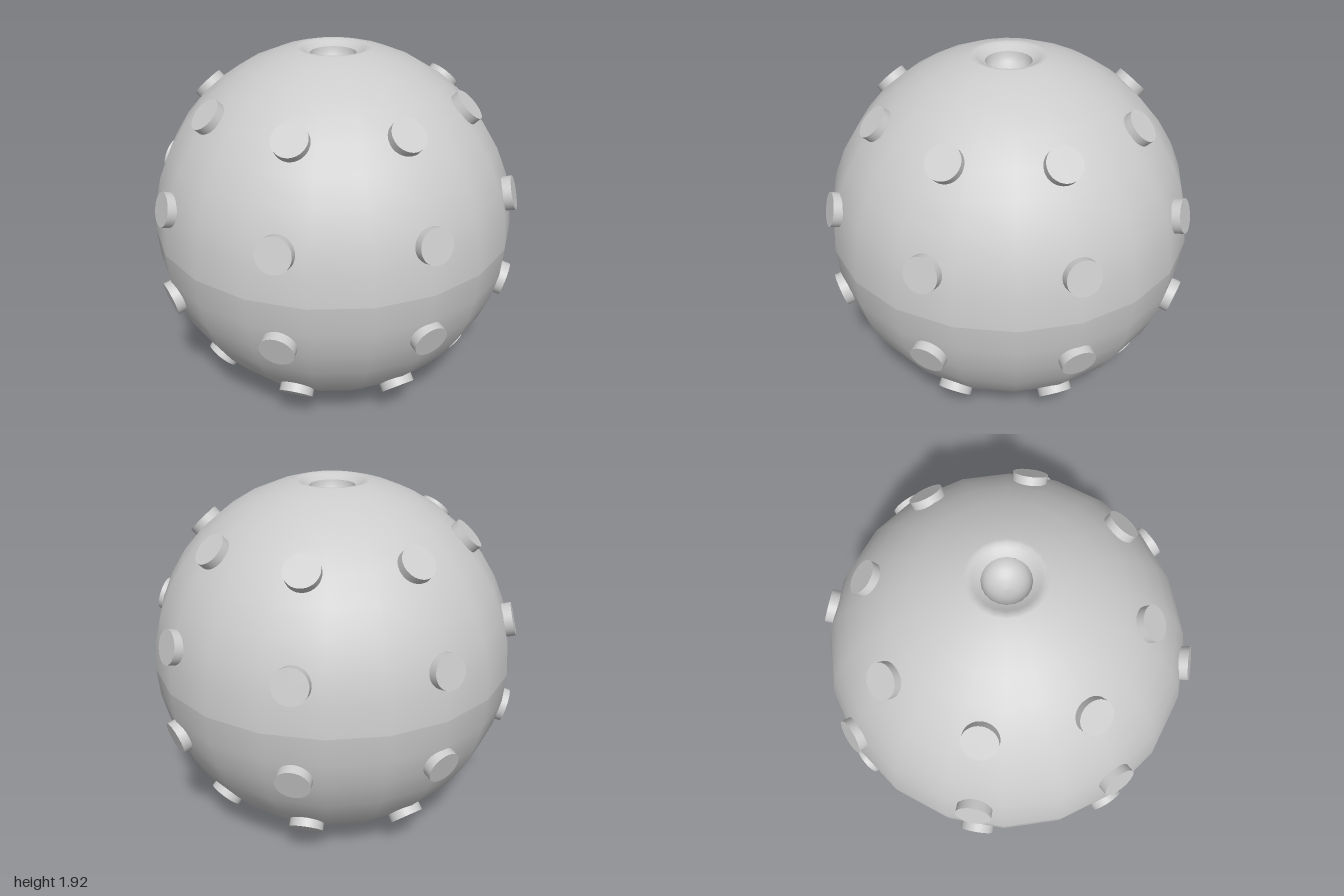
import * as THREE from 'three';

const material = new THREE.MeshStandardMaterial({ color: 0xcccccc });
const R = 0.98;         // shell radius
const CENTRE = 0.96;    // height of the shell's centre
const SIDES = 20;
const rad = THREE.MathUtils.degToRad;

function part(name, geometry) {
  const mesh = new THREE.Mesh(geometry, material);
  mesh.name = name;
  return mesh;
}

// A half shell with a rounded lip around the pole and a round socket in it
function createHalf(name) {
  const half = new THREE.Group();
  half.name = name;

  const profile = [];
  for (let lat = 0; lat <= 72; lat += 9) {
    profile.push(new THREE.Vector2(R * Math.cos(rad(lat)), R * Math.sin(rad(lat))));
  }
  for (const [x, y] of [[0.2, 0.96], [0.18, 0.96], [0.16, 0.951], [0.14, 0.938], [0.12, 0.93]]) {
    profile.push(new THREE.Vector2(x, y));
  }
  half.add(part('shell', new THREE.LatheGeometry(profile, SIDES)));

  // Bowl-shaped socket
  const bowl = [];
  for (let i = 0; i <= 6; i++) {
    const a = (i / 6) * Math.PI / 2;
    bowl.push(new THREE.Vector2(i === 6 ? 0 : 0.12 * Math.cos(a), 0.93 - 0.1 * Math.sin(a)));
  }
  half.add(part('socket', new THREE.LatheGeometry(bowl, 32)));

  // Two rows of round studs pointing straight out
  const studGeometry = new THREE.CylinderGeometry(0.09, 0.09, 0.1, 32);
  const up = new THREE.Vector3(0, 1, 0);
  for (const lat of [15, 45]) {
    for (let i = 0; i < 8; i++) {
      const direction = new THREE.Vector3().setFromSphericalCoords(1, rad(90 - lat), i * Math.PI / 4);
      const stud = part('stud', studGeometry);
      stud.position.copy(direction).multiplyScalar(0.962);
      stud.quaternion.setFromUnitVectors(up, direction);
      half.add(stud);
    }
  }
  half.position.y = CENTRE;
  return half;
}

export function createModel() {
  const model = new THREE.Group();
  model.name = 'studdedSphere';
  const lower = createHalf('lowerHalf');
  lower.rotation.x = Math.PI;
  model.add(createHalf('upperHalf'), lower);
  return model;
}
